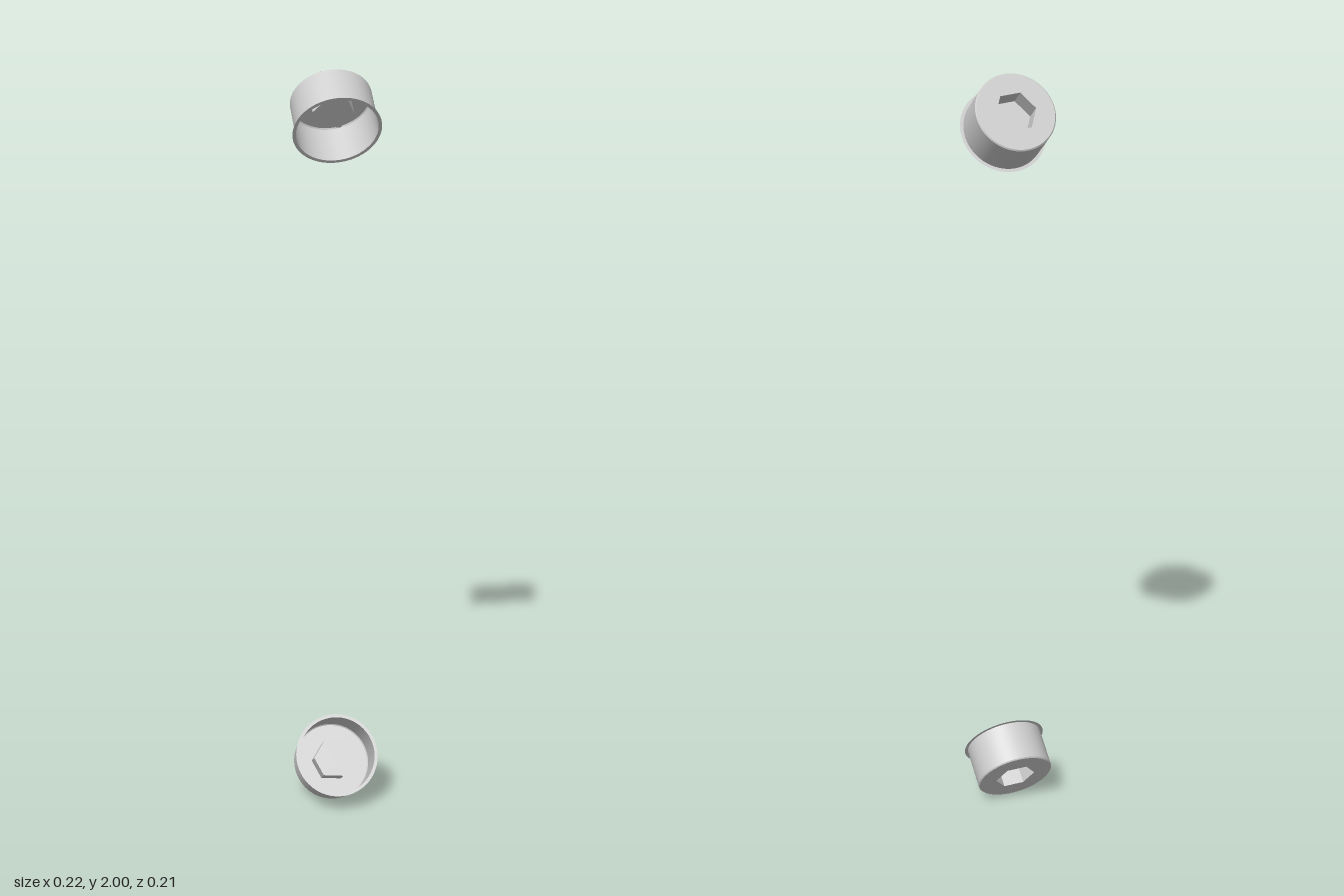
import * as THREE from 'three';

const R = 0.1034, H = 0.111, BEVEL = 0.003;      // cap shell
const RIM = 0.112;                               // flat lip at the open end
const HEX_R = 0.054, HEX_DEPTH = 0.05, HEX_TURN = THREE.MathUtils.degToRad(6.4);
const SEG = 64;

const smooth = new THREE.MeshStandardMaterial({ color: 0xcccccc, side: THREE.DoubleSide });
const faceted = new THREE.MeshStandardMaterial({ color: 0xcccccc, side: THREE.DoubleSide, flatShading: true });

function add(group, name, geometry, material = smooth) {
  const mesh = new THREE.Mesh(geometry, material);
  mesh.name = name;
  group.add(mesh);
}

// Hollow socket cap: open end at y = 0, hex socket in the face at y = H
function createCap(name) {
  const cap = new THREE.Group();
  cap.name = name;

  // Side wall
  const wallHeight = H - BEVEL;
  add(cap, 'wall', new THREE.CylinderGeometry(R, R, wallHeight, SEG, 1, true).translate(0, wallHeight / 2, 0));

  // Narrow bevel between wall and face
  add(cap, 'bevel', new THREE.CylinderGeometry(R - BEVEL, R, BEVEL, SEG, 1, true).translate(0, H - BEVEL / 2, 0));

  // Thin lip around the opening
  add(cap, 'rim', new THREE.RingGeometry(R, RIM, SEG).rotateX(-Math.PI / 2));

  // Face with the hexagonal opening
  const face = new THREE.Shape().absarc(0, 0, R - BEVEL, 0, Math.PI * 2);
  const corners = [];
  for (let i = 0; i < 6; i++) {
    const a = HEX_TURN + i * Math.PI / 3;
    corners.push(new THREE.Vector2(HEX_R * Math.cos(a), HEX_R * Math.sin(a)));
  }
  face.holes.push(new THREE.Path(corners.reverse()));
  add(cap, 'face', new THREE.ShapeGeometry(face, SEG).rotateX(-Math.PI / 2).translate(0, H, 0));

  // Hexagonal socket: walls and floor
  add(cap, 'socketWall',
    new THREE.CylinderGeometry(HEX_R, HEX_R, HEX_DEPTH, 6, 1, true, Math.PI / 2 + HEX_TURN)
      .translate(0, H - HEX_DEPTH / 2, 0), faceted);
  add(cap, 'socketFloor',
    new THREE.CircleGeometry(HEX_R, 6, HEX_TURN).rotateX(-Math.PI / 2).translate(0, H - HEX_DEPTH, 0), faceted);

  return cap;
}

export function createModel() {
  const model = new THREE.Group();
  model.name = 'socketCaps';

  // Two caps far apart, both facing backward: one tilted up, one tilted down
  const tilt = THREE.MathUtils.degToRad(55.2);
  const upper = createCap('upperCap');
  upper.rotation.x = -tilt;
  upper.position.set(0, 1.852, 0.042);

  const lower = createCap('lowerCap');
  lower.rotation.x = tilt - Math.PI;
  lower.position.set(0, 0.148, 0.042);

  model.add(upper, lower);
  return model;
}
